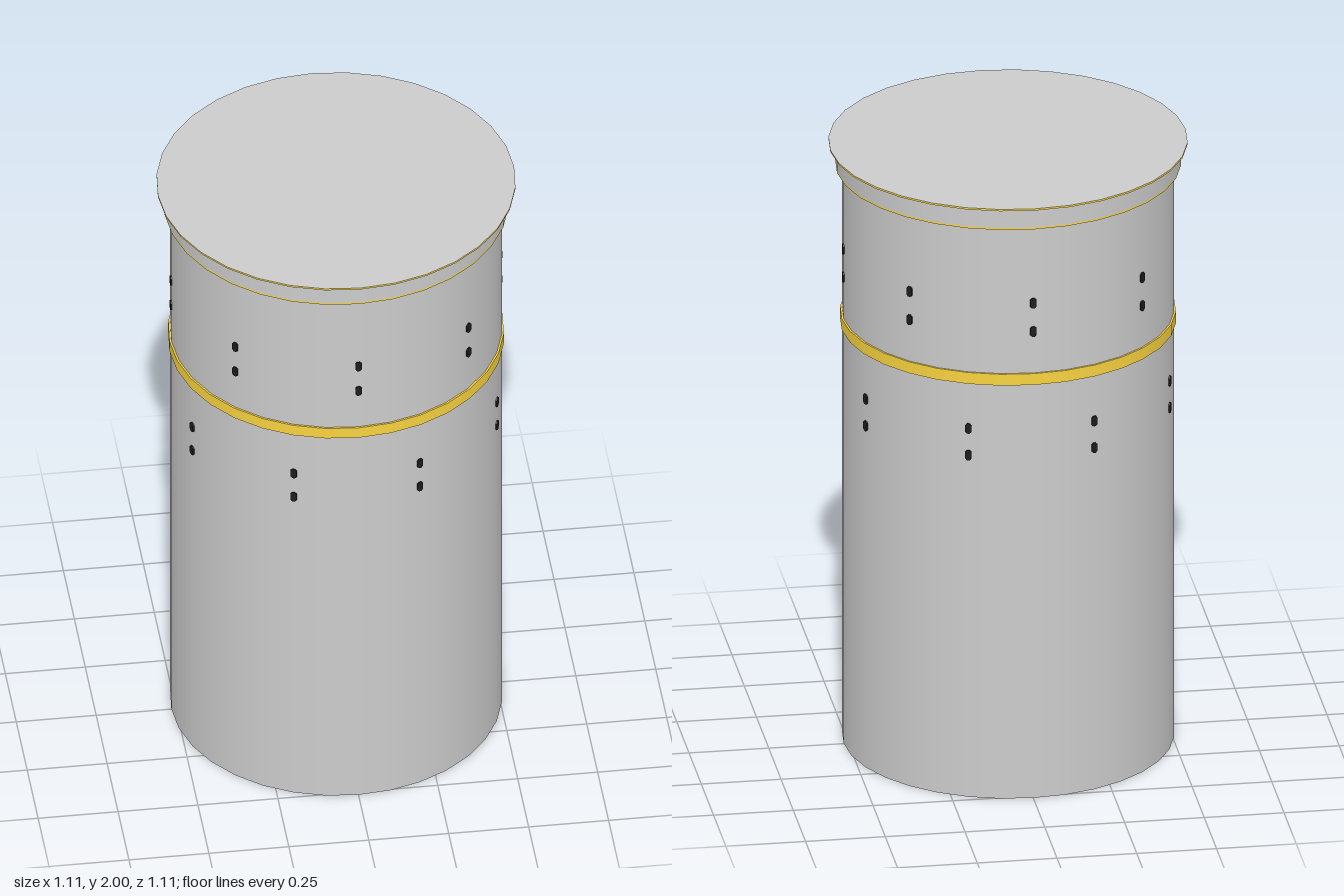
import * as THREE from 'three';

const SIDES = 32;
const grey = new THREE.MeshStandardMaterial({ color: 0xcccccc, side: THREE.DoubleSide });
const gold = new THREE.MeshStandardMaterial({ color: 0xf8d340, side: THREE.DoubleSide });
const dark = new THREE.MeshStandardMaterial({ color: 0x1c1c1c });

// One smooth ring surface swept between two [radius, height] points
function ring(name, material, from, to) {
  const points = [from, to].map(([r, y]) => new THREE.Vector2(r, y));
  const mesh = new THREE.Mesh(new THREE.LatheGeometry(points, SIDES), material);
  mesh.name = name;
  return mesh;
}

// Small plate with chamfered corners, set flush in the wall
function studGeometry() {
  const w = 0.010, h = 0.017, c = 0.006;
  const shape = new THREE.Shape([
    [-w + c, -h], [w - c, -h], [w, -h + c], [w, h - c],
    [w - c, h], [-w + c, h], [-w, h - c], [-w, -h + c],
  ].map(([x, y]) => new THREE.Vector2(x, y)));
  return new THREE.ExtrudeGeometry(shape, { depth: 0.014, bevelEnabled: false });
}

export function createModel() {
  const model = new THREE.Group();
  model.name = 'canister';

  // Body: a wall open at the bottom
  const R = 0.515;
  model.add(ring('bodyWall', grey, [R, 0], [R, 1.925]));

  // Raised band around the middle
  const band = new THREE.Group();
  band.name = 'band';
  band.add(
    ring('bandUnderside', gold, [R, 1.392], [0.521, 1.392]),
    ring('bandFace', gold, [0.521, 1.392], [0.521, 1.43]),
    ring('bandTop', gold, [0.521, 1.43], [R, 1.43]),
  );
  model.add(band);

  // Lid: collar with a thin overhanging lip
  const lid = new THREE.Group();
  lid.name = 'lid';
  lid.add(
    ring('collarUnderside', gold, [R, 1.922], [0.536, 1.922]),
    ring('collarTrim', gold, [0.536, 1.922], [0.536, 1.928]),
    ring('collarWall', grey, [0.536, 1.928], [0.536, 1.994]),
    ring('lipUnderside', gold, [0.536, 1.994], [0.557, 1.994]),
    ring('lipEdge', gold, [0.557, 1.994], [0.557, 2]),
    ring('lidTop', grey, [0.557, 2], [0, 2]),
  );
  model.add(lid);

  // Pairs of studs: eight per row, the lower row turned by half a step
  const studs = new THREE.Group();
  studs.name = 'studs';
  const geometry = studGeometry();
  const rows = [
    { heights: [1.57, 1.665], offset: 0 },
    { heights: [1.15, 1.24], offset: Math.PI / 8 },
  ];
  for (const { heights, offset } of rows) {
    for (let i = 0; i < 8; i++) {
      const angle = offset + (i * Math.PI) / 4;
      for (const y of heights) {
        const stud = new THREE.Mesh(geometry, dark);
        stud.name = 'stud';
        stud.position.set(Math.sin(angle) * (R - 0.01), y, Math.cos(angle) * (R - 0.01));
        stud.rotation.y = angle;
        studs.add(stud);
      }
    }
  }
  model.add(studs);

  return model;
}
